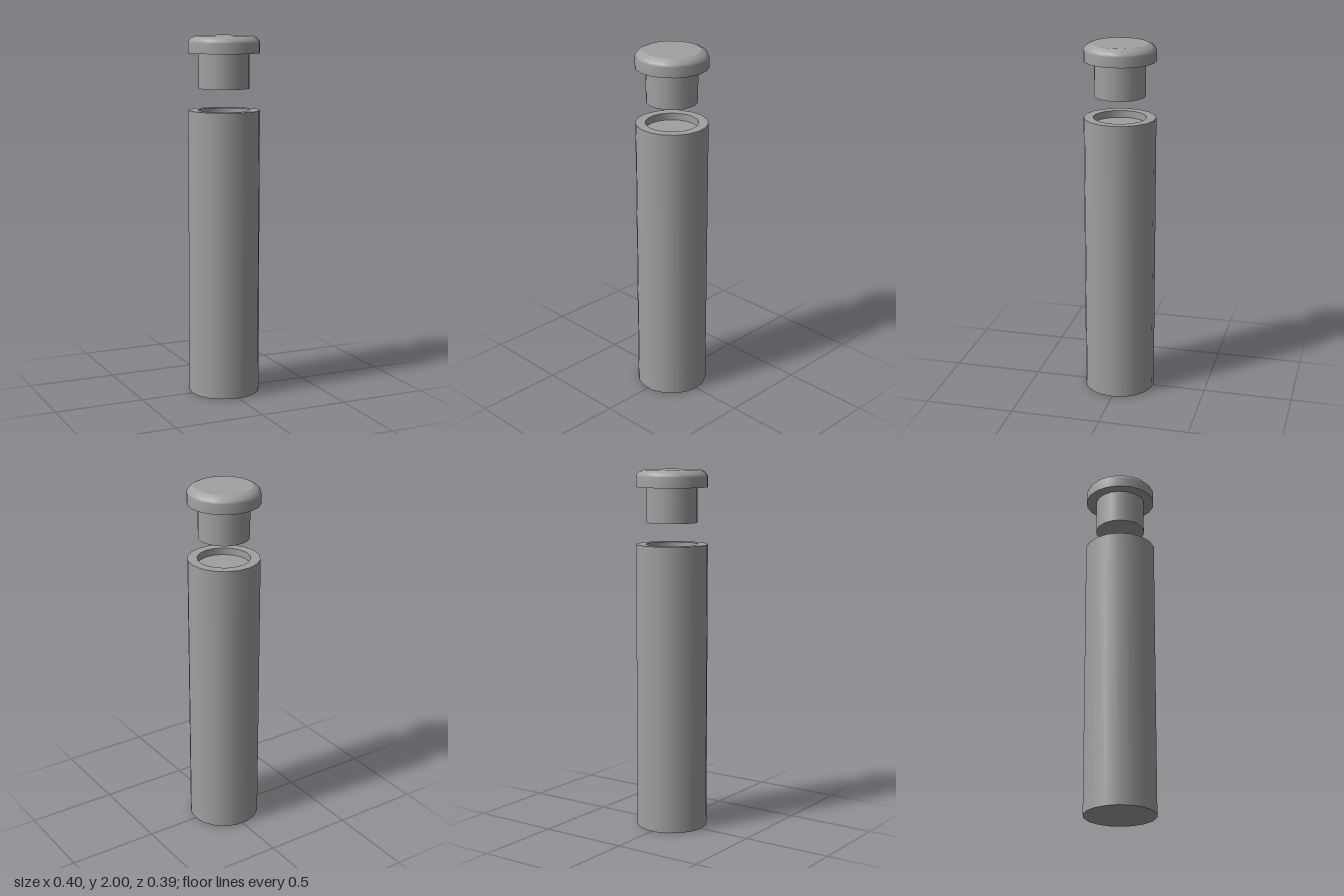
import * as THREE from 'three';
import { mergeGeometries } from 'three/addons/utils/BufferGeometryUtils.js';

const SIDES = 18;

// Each strip is a smooth lathe profile; strips meet at sharp edges.
function turned(name, strips, material) {
  const parts = strips.map((strip) => new THREE.LatheGeometry(
    strip.map(([r, y]) => new THREE.Vector2(r, y)), SIDES, Math.PI / 2));
  const mesh = new THREE.Mesh(mergeGeometries(parts), material);
  mesh.name = name;
  return mesh;
}

export function createModel() {
  const grey = new THREE.MeshStandardMaterial({ color: 0xa0a0a0 });
  grey.name = 'grey';
  const group = new THREE.Group();
  group.name = 'stopperedTube';

  // Tube with a shallow recess in its top
  group.add(turned('tube', [
    [[0, 0], [0.198, 0]],
    [[0.198, 0], [0.198, 1.594]],
    [[0.198, 1.594], [0.145, 1.594]],
    [[0.145, 1.594], [0.145, 1.555]],
    [[0.145, 1.555], [0, 1.555]],
  ], grey));

  // Stopper floating above the tube: narrow plug below a bevelled cap
  const stopper = new THREE.Group();
  stopper.name = 'stopper';
  stopper.add(turned('plug', [
    [[0, 1.713], [0.14, 1.713]],
    [[0.14, 1.713], [0.14, 1.906]],
  ], grey));
  stopper.add(turned('cap', [
    [[0.14, 1.906], [0.198, 1.906]],
    [[0.198, 1.906], [0.198, 1.962], [0.193, 1.975], [0.179, 1.99], [0.157, 2]],
    [[0.157, 2], [0, 2]],
  ], grey));
  group.add(stopper);

  return group;
}
